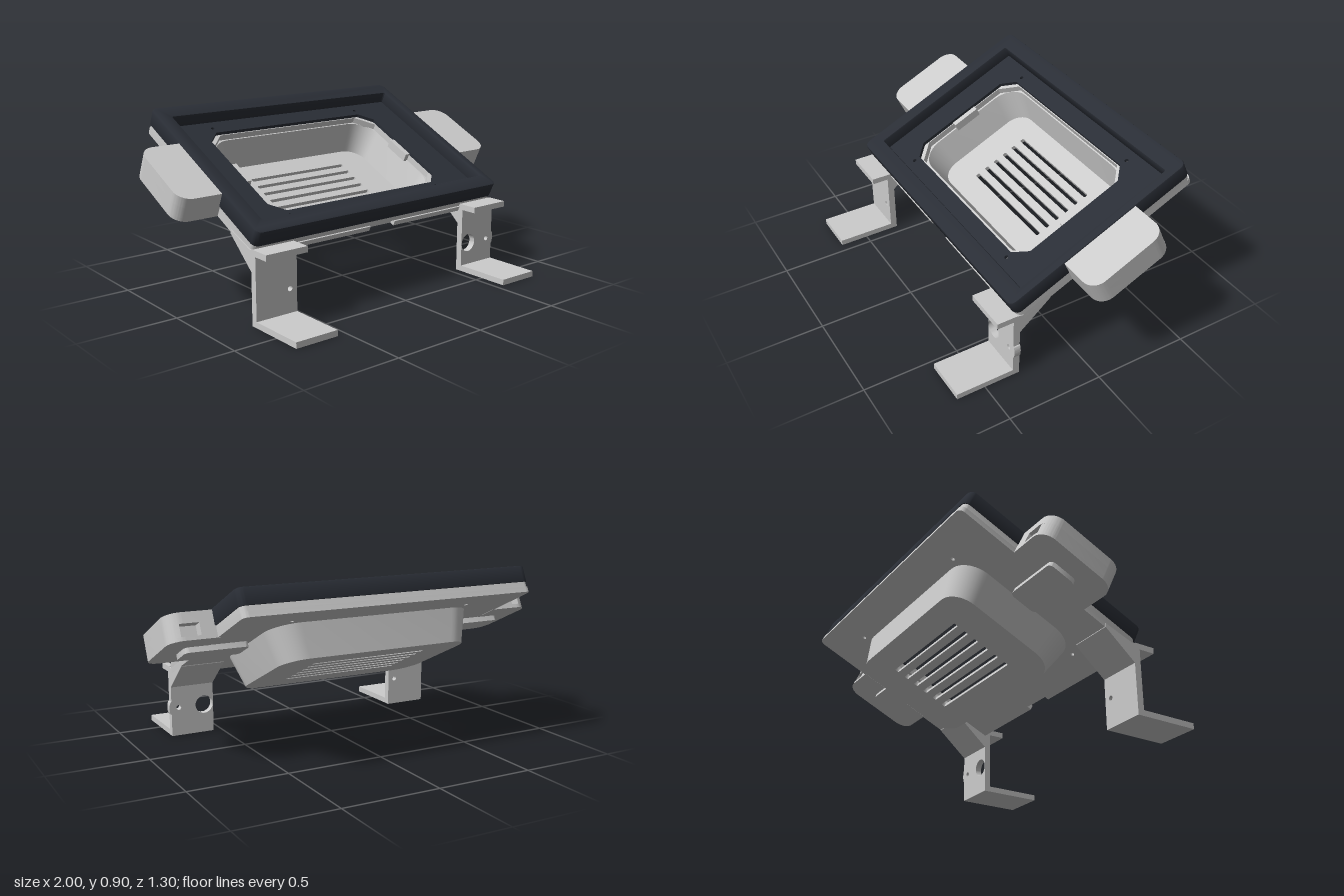
import * as THREE from 'three';
import { toCreasedNormals } from 'three/addons/utils/BufferGeometryUtils.js';

const grey = new THREE.MeshStandardMaterial({ color: 0xcccccc });
const dark = new THREE.MeshStandardMaterial({ color: 0x2a2e36 });

function add(parent, name, geometry, material = grey) {
  const mesh = new THREE.Mesh(toCreasedNormals(geometry, 0.5), material);
  mesh.name = name;
  parent.add(mesh);
  return mesh;
}

// Points of a rounded rectangle, counter-clockwise; steps = 1 gives chamfered corners
function roundRect(x0, x1, y0, y1, r, steps = 8) {
  const points = [];
  [[x1 - r, y1 - r], [x0 + r, y1 - r], [x0 + r, y0 + r], [x1 - r, y0 + r]].forEach(([cx, cy], corner) => {
    for (let i = 0; i <= steps; i++) {
      const a = (corner + i / steps) * Math.PI / 2;
      points.push(new THREE.Vector2(cx + r * Math.cos(a), cy + r * Math.sin(a)));
    }
  });
  return points;
}

const circle = (x, y, r) => new THREE.Path().absarc(x, y, r, 0, Math.PI * 2, true);

function shapeOf(points, holes = []) {
  const shape = new THREE.Shape(points);
  shape.holes = holes.map(h => (Array.isArray(h) ? new THREE.Path(h) : h));
  return shape;
}

// Plan outline (x, -z) raised from y0 to y1, with an optional top and bottom bevel
function slab(shape, y0, y1, bevel = 0) {
  const g = new THREE.ExtrudeGeometry(shape, {
    depth: y1 - y0 - 2 * bevel, curveSegments: 16, bevelEnabled: bevel > 0,
    bevelSize: bevel, bevelThickness: bevel, bevelOffset: -bevel, bevelSegments: 2
  });
  return g.rotateX(-Math.PI / 2).translate(0, y0 + bevel, 0);
}

// Skin through stacked rounded-rectangle sections [halfX, halfZ, radius, y]
function loft(sections) {
  const pos = [], index = [];
  let n = 0;
  for (const [hx, hz, r, y] of sections) {
    const ring = roundRect(-hx, hx, -hz, hz, r, 10);
    n = ring.length;
    ring.forEach(p => pos.push(p.x, y, -p.y));
  }
  for (let s = 0; s < sections.length - 1; s++) {
    for (let i = 0; i < n; i++) {
      const a = s * n + i, b = s * n + (i + 1) % n;
      index.push(a, a + n, b, b, a + n, b + n);
    }
  }
  const g = new THREE.BufferGeometry();
  g.setAttribute('position', new THREE.Float32BufferAttribute(pos, 3));
  g.setIndex(index);
  g.computeVertexNormals();
  return g;
}

function buildCase() {
  const body = new THREE.Group();
  body.name = 'tiltedCase';
  const screws = () => [-1, 1].flatMap(sx => [-1, 1].map(sz => circle(0.48 * sx, 0.378 * sz, 0.01)));

  // Dark bezel and the thin display ledge inside it
  add(body, 'bezel', slab(shapeOf(roundRect(-0.78, 0.78, -0.5275, 0.5275, 0.035),
    [roundRect(-0.7, 0.73, -0.435, 0.435, 0.005, 1)]), 0, 0.085, 0.008), dark);
  add(body, 'displayLedge', slab(shapeOf(roundRect(-0.74, 0.75, -0.47, 0.47, 0.01, 1),
    [roundRect(-0.55, 0.545, -0.345, 0.34, 0.07, 1), ...screws()]), 0.002, 0.02), dark);

  // Grey back plate in two layers, the lower one notched at the front
  const opening = () => roundRect(-0.545, 0.54, -0.338, 0.335, 0.09, 1);
  add(body, 'backPlateUpper', slab(shapeOf(roundRect(-0.775, 0.775, -0.522, 0.522, 0.03),
    [opening(), ...screws()]), -0.026, 0.002));
  const lower = roundRect(-0.775, 0.775, -0.529, 0.529, 0.03);
  const at = lower.findIndex(p => p.x > 0 && p.y < -0.4);
  lower.splice(at, 0, ...[[-0.08, -0.529], [-0.08, -0.505], [0.08, -0.505], [0.08, -0.529]]
    .map(([x, y]) => new THREE.Vector2(x, y)));
  add(body, 'backPlateLower', slab(shapeOf(lower, [opening(), ...screws()]), -0.053, -0.026));

  // Tapered basin with a slotted floor
  add(body, 'basinWall', loft([
    [0.535, 0.328, 0.13, -0.03], [0.56, 0.352, 0.14, -0.03], [0.51, 0.308, 0.12, -0.217],
    [0.49, 0.288, 0.1, -0.217], [0.535, 0.328, 0.13, -0.03]
  ].reverse()).scale(1, 1, 1)).material = new THREE.MeshStandardMaterial({ color: 0xcccccc, side: THREE.DoubleSide });
  const slots = [];
  for (let i = 0; i < 6; i++) {
    const y = -0.149 + i * 0.063;
    slots.push(roundRect(-0.31, 0.31, y - 0.011, y + 0.011, 0.005, 2));
  }
  add(body, 'ventedFloor', slab(shapeOf(roundRect(-0.492, 0.492, -0.29, 0.29, 0.1, 10), slots), -0.217, -0.195));

  for (const s of [-1, 1]) {
    const side = s > 0 ? 'left' : 'right';
    const span = (a, b) => (s > 0 ? [a, b] : [-b, -a]);

    // Side grip in three layers; the middle one has a pocket in its back edge
    const grip = pocket => {
      const shape = new THREE.Shape();
      shape.moveTo(0.765, -0.213);
      shape.lineTo(0.925, -0.213);
      shape.absarc(0.925, -0.138, 0.075, -Math.PI / 2, 0);
      shape.absarc(0.925, 0.138, 0.075, 0, pocket ? Math.PI / 3 : Math.PI / 2);
      if (pocket) {
        for (const [x, y] of [[0.945, 0.21], [0.945, 0.16], [0.85, 0.16], [0.85, 0.213]]) shape.lineTo(x, y);
      }
      shape.lineTo(0.765, 0.213);
      return new THREE.Shape(shape.getPoints(10).map(p => new THREE.Vector2(s * p.x, p.y)));
    };
    [[-0.054, -0.035, false], [-0.035, 0.025, true], [0.025, 0.078, false]].forEach(([y0, y1, pocket], i) =>
      add(body, `${side}Grip${i + 1}`, slab(grip(pocket), y0, y1)));

    // Latch strip under the grip, and a clip at the edge of the opening
    const [a, b] = span(0.57, 0.89);
    add(body, `${side}LatchStrip`, slab(shapeOf(roundRect(a, b, -0.075, 0.075, 0.025)), -0.08, -0.05));
    add(body, `${side}Clip`, new THREE.BoxGeometry(0.03, 0.045, 0.15).translate(s * 0.53, -0.012, 0));
  }

  body.position.set(0, 0.602, -0.145);
  body.rotation.x = THREE.MathUtils.degToRad(25);
  return body;
}

// Bent-sheet leg: foot, upright with holes, shelf and a solid brace under the plate
function buildLeg(name, x0, x1, holes) {
  const leg = new THREE.Group();
  leg.name = name;
  const w = x1 - x0, mid = (x0 + x1) / 2;
  add(leg, 'foot', new THREE.BoxGeometry(w, 0.03, 0.34).translate(mid, 0.015, 0.48));
  add(leg, 'shelf', new THREE.BoxGeometry(w, 0.03, 0.11).translate(mid, 0.355, 0.377));
  const panel = shapeOf([[x0, 0.03], [x1, 0.03], [x1, 0.35], [x0, 0.35]].map(p => new THREE.Vector2(...p)),
    holes.map(([x, r]) => circle(x, 0.15, r)));
  add(leg, 'upright', new THREE.ExtrudeGeometry(panel, { depth: 0.035, bevelEnabled: false, curveSegments: 16 })
    .translate(0, 0, 0.31));
  // Side profile drawn as (-z, y), turned to run along x
  const profile = [[-0.335, 0.37], [-0.312, 0.26], [-0.145, 0.405], [-0.145, 0.425], [-0.3, 0.365]]
    .map(p => new THREE.Vector2(...p));
  add(leg, 'brace', new THREE.ExtrudeGeometry(new THREE.Shape(profile), { depth: w, bevelEnabled: false })
    .rotateY(Math.PI / 2).translate(x0, 0, 0));
  return leg;
}

export function createModel() {
  const model = new THREE.Group();
  model.name = 'displayCaseOnStand';
  model.add(buildCase());
  model.add(buildLeg('rightLeg', -0.78, -0.55, [[-0.59, 0.013]]));
  const leftLeg = buildLeg('leftLeg', 0.545, 0.775, [[0.595, 0.048], [0.735, 0.013]]);
  // Rounded boss on the outer edge beside the small hole
  const boss = new THREE.Shape().absarc(0.775, 0.15, 0.035, -Math.PI / 2, Math.PI / 2);
  add(leftLeg, 'edgeBoss', new THREE.ExtrudeGeometry(boss, { depth: 0.035, bevelEnabled: false })
    .translate(-0.775, 0, 0).scale(0.3, 1, 1).translate(0.775, 0, 0.31));
  model.add(leftLeg);
  return model;
}
